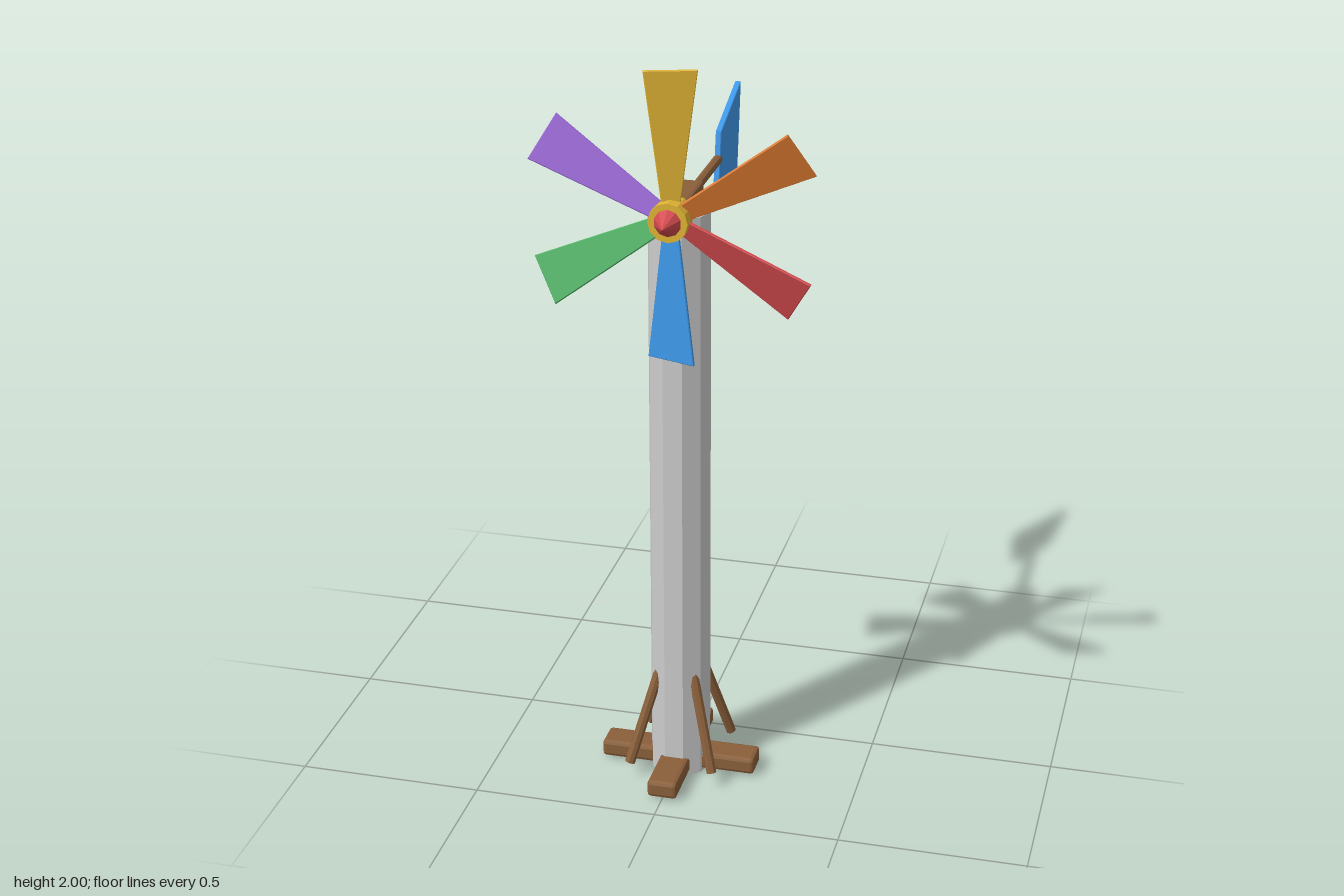
import * as THREE from 'three';
import { RoundedBoxGeometry } from 'three/addons/geometries/RoundedBoxGeometry.js';

const mat = (color) => new THREE.MeshStandardMaterial({ color, flatShading: true });
const grey = mat(0xcccccc), wood = mat(0x8a5f3a), gold = mat(0xe0b434), orange = mat(0xe07c30);
const red = mat(0xd2494d), blue = mat(0x3f99ea), green = mat(0x4fb364), purple = mat(0x9c68d8);

const POLE_Z = 0.213, AXLE_Y = 1.617, ROTOR_Z = 0.297;

function add(parent, name, geometry, material, x = 0, y = 0, z = 0) {
  const mesh = new THREE.Mesh(geometry, material);
  mesh.name = name;
  mesh.position.set(x, y, z);
  parent.add(mesh);
  return mesh;
}

// Box with a single chamfer along its edges
const chamferBox = (w, h, d, r = 0.01) => new RoundedBoxGeometry(w, h, d, 1, r);

// Thin bevelled plate from 2D corners, centred on z = 0
function plate(points, thickness) {
  const bevel = 0.002;
  const shape = new THREE.Shape(points.map(([x, y]) => new THREE.Vector2(x, y)));
  const geometry = new THREE.ExtrudeGeometry(shape, {
    depth: thickness - 2 * bevel, bevelEnabled: true, bevelSegments: 1,
    bevelThickness: bevel, bevelSize: bevel, bevelOffset: -bevel,
  });
  return geometry.translate(0, 0, bevel - thickness / 2);
}

// Straight round bar between two points
function bar(parent, name, from, to, radius) {
  const dir = to.clone().sub(from);
  const mesh = add(parent, name, new THREE.CylinderGeometry(radius, radius, dir.length(), 8), wood);
  mesh.position.copy(from).add(to).multiplyScalar(0.5);
  mesh.quaternion.setFromUnitVectors(new THREE.Vector3(0, 1, 0), dir.normalize());
}

export function createModel() {
  const model = new THREE.Group();
  model.name = 'windmill';

  // Tower and crossed foot beams
  const tower = new THREE.Group();
  tower.name = 'tower';
  tower.position.z = POLE_Z;
  model.add(tower);
  add(tower, 'pole', new THREE.CylinderGeometry(0.083, 0.083, 1.615, 10).rotateY(Math.PI / 2), grey, 0, 0.8075, 0);
  add(tower, 'footBeamAcross', chamferBox(0.43, 0.048, 0.082), wood, 0, 0.03, 0);
  add(tower, 'footBeamAlong', chamferBox(0.082, 0.048, 0.43), wood, 0, 0.03, 0);

  // Diagonal braces leaning on the pole
  for (const sx of [-1, 1]) {
    for (const sz of [-1, 1]) {
      bar(tower, 'brace', new THREE.Vector3(sx * 0.115, 0.045, sz * 0.115),
        new THREE.Vector3(sx * 0.046, 0.31, sz * 0.046), 0.014);
    }
  }

  // Head block, tail rod and fin
  add(model, 'headBlock', chamferBox(0.07, 0.078, 0.175), wood, 0, 1.616, 0.177);
  bar(model, 'tailRod', new THREE.Vector3(0, AXLE_Y, 0.1), new THREE.Vector3(0, AXLE_Y, -0.2), 0.013);
  const fin = plate([[0.175, 1.52], [0.386, 1.476], [0.429, 1.767], [0.206, 1.693]], 0.016);
  add(model, 'tailFin', fin.rotateY(Math.PI / 2), blue);

  // Rotor: hub, nose cone and six pitched blades
  const rotor = new THREE.Group();
  rotor.name = 'rotor';
  rotor.position.set(0, AXLE_Y, ROTOR_Z);
  model.add(rotor);
  add(rotor, 'hub', new THREE.CylinderGeometry(0.052, 0.052, 0.07, 12).rotateX(Math.PI / 2), gold);
  add(rotor, 'noseCone', new THREE.ConeGeometry(0.036, 0.054, 10).rotateX(Math.PI / 2), red, 0, 0, 0.062);

  const blade = plate([[-0.024, 0.04], [0.024, 0.04], [0.068, 0.383], [-0.068, 0.383]], 0.009);
  blade.rotateY(0.3);
  [gold, orange, red, blue, green, purple].forEach((material, i) => {
    add(rotor, 'blade', blade, material).rotation.z = -i * Math.PI / 3;
  });

  return model;
}
